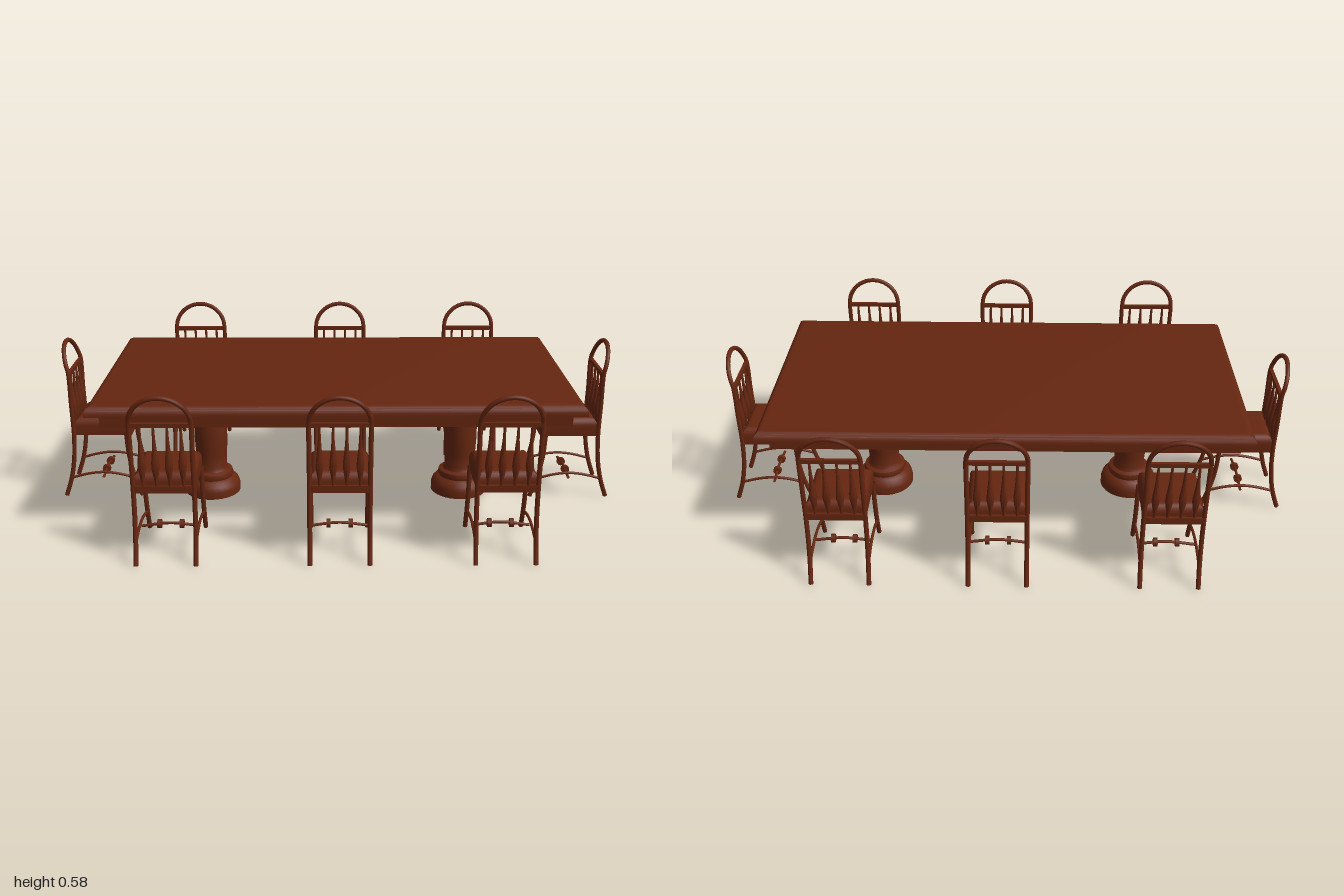
import * as THREE from 'three';
import { toCreasedNormals } from 'three/addons/utils/BufferGeometryUtils.js';

const V = (x, y, z) => new THREE.Vector3(x, y, z);

// Rectangular slab lofted through rings of [inset, y], with mitred corners
function slab(halfX, halfZ, rings) {
  const pos = [];
  const quad = (a, b, c, d) => [a, b, c, a, c, d].forEach(p => pos.push(...p));
  const loops = rings.map(([inset, y]) => {
    const x = halfX - inset, z = halfZ - inset;
    return [[-x, y, z], [x, y, z], [x, y, -z], [-x, y, -z]];
  });
  for (let k = 0; k < loops.length - 1; k++) {
    for (let i = 0; i < 4; i++) {
      const j = (i + 1) % 4;
      quad(loops[k][i], loops[k][j], loops[k + 1][j], loops[k + 1][i]);
    }
  }
  const [a, b, c, d] = loops[0];
  quad(d, c, b, a);
  quad(...loops[loops.length - 1]);
  const geo = new THREE.BufferGeometry();
  geo.setAttribute('position', new THREE.Float32BufferAttribute(pos, 3));
  return toCreasedNormals(geo, 0.6);
}

// Quarter-round top edge for a slab
function roundOver(radius, top, steps = 6) {
  const rings = [];
  for (let i = 0; i <= steps; i++) {
    const t = (i / steps) * Math.PI / 2;
    rings.push([radius * (1 - Math.cos(t)), top - radius * (1 - Math.sin(t))]);
  }
  return rings;
}

function tube(points, radius, segments) {
  return new THREE.TubeGeometry(new THREE.CatmullRomCurve3(points), segments, radius, 8);
}

function lathe(profile, sides) {
  const geo = new THREE.LatheGeometry(profile.map(([r, y]) => new THREE.Vector2(r, y)), sides);
  return toCreasedNormals(geo, 0.7);
}

export function createModel() {
  const model = new THREE.Group();
  model.name = 'diningSet';
  const wood = new THREE.MeshStandardMaterial({ color: 0x652610, side: THREE.DoubleSide });
  wood.name = 'mahogany';
  const add = (parent, name, geo, x = 0, y = 0, z = 0) => {
    const mesh = new THREE.Mesh(geo, wood);
    mesh.name = name;
    mesh.position.set(x, y, z);
    parent.add(mesh);
    return mesh;
  };

  // Table: rounded top, hollow apron, two turned pedestals
  const table = new THREE.Group();
  table.name = 'table';
  model.add(table);
  add(table, 'tableTop', slab(0.82, 0.41, [[0, 0.44], ...roundOver(0.032, 0.477)]));
  add(table, 'apron', slab(0.78, 0.37, [[0.04, 0.438], [0.04, 0.39], [0, 0.39], [0, 0.441]]));
  const pedestal = lathe([
    [0, 0], [0.102, 0], [0.102, 0.025], [0.097, 0.042], [0.085, 0.055], [0.074, 0.06],
    [0.077, 0.07], [0.074, 0.082], [0.06, 0.088], [0.054, 0.1], [0.057, 0.15], [0.06, 0.21],
    [0.059, 0.26], [0.053, 0.32], [0.052, 0.335], [0.06, 0.34], [0.063, 0.348], [0.06, 0.356],
    [0.068, 0.36], [0.075, 0.37], [0.075, 0.39], [0.075, 0.439], [0, 0.439],
  ], 32);
  for (const x of [-0.46, 0.46]) add(table, 'pedestal', pedestal, x);

  // Chair parts, back towards +z
  const halfW = 0.097;
  const post = [[0, 0.597], [0.07, 0.573], [0.15, 0.557], [0.24, 0.55], [0.36, 0.55]];
  const frame = post.map(([y, z]) => V(-halfW, y, z));
  for (let i = 0; i <= 12; i++) {
    const t = Math.PI * (1 - i / 12), s = Math.sin(t);
    frame.push(V(halfW * Math.cos(t), 0.475 + 0.09 * s, 0.55 + 0.022 * s));
  }
  frame.push(...post.reverse().map(([y, z]) => V(halfW, y, z)));

  const parts = {
    backFrame: tube(frame, 0.008, 90),
    frontLeg: tube([V(0, 0, 0.317), V(0, 0.08, 0.342), V(0, 0.16, 0.356), V(0, 0.25, 0.361)], 0.008, 14),
    seat: slab(0.098, 0.103, [[0.02, 0.275], [0.02, 0.238], [0, 0.238], ...roundOver(0.033, 0.305)]),
    rail: new THREE.BoxGeometry(2 * halfW, 0.014, 0.012),
    lowerRail: new THREE.BoxGeometry(2 * halfW, 0.024, 0.012),
    spindle: lathe([
      [0.004, 0.25], [0.005, 0.275], [0.009, 0.3], [0.013, 0.325], [0.012, 0.345],
      [0.008, 0.38], [0.005, 0.42], [0.004, 0.468],
    ], 10),
    sideStretcher: tube([V(0, 0.07, 0.34), V(0, 0.086, 0.4), V(0, 0.092, 0.455), V(0, 0.086, 0.51), V(0, 0.07, 0.572)], 0.005, 18),
    crossStretcher: tube([V(-halfW, 0.073, 0.455), V(0, 0.084, 0.455), V(halfW, 0.073, 0.455)], 0.005, 14),
    bead: new THREE.CylinderGeometry(0.015, 0.015, 0.014, 12).rotateZ(Math.PI / 2),
  };

  function chair(x, z, turn) {
    const g = new THREE.Group();
    g.name = 'chair';
    g.position.set(x, 0, z);
    g.rotation.y = turn;
    add(g, 'backFrame', parts.backFrame);
    add(g, 'seat', parts.seat, 0, 0, 0.443);
    add(g, 'upperBackRail', parts.rail, 0, 0.468, 0.55);
    add(g, 'lowerBackRail', parts.lowerRail, 0, 0.25, 0.55);
    for (let i = 0; i < 4; i++) add(g, 'spindle', parts.spindle, (i - 1.5) * 0.043, 0, 0.55);
    for (const s of [-1, 1]) {
      add(g, 'frontLeg', parts.frontLeg, s * halfW);
      add(g, 'sideStretcher', parts.sideStretcher, s * halfW);
      add(g, 'stretcherBead', parts.bead, s * 0.037, 0.081, 0.455);
    }
    add(g, 'crossStretcher', parts.crossStretcher);
    model.add(g);
  }

  // Three chairs along each side, one at each end
  for (const x of [-0.55, 0.01, 0.545]) chair(x, 0, 0);
  for (const x of [-0.55, 0.02, 0.545]) chair(x, 0, Math.PI);
  chair(0.4, -0.025, Math.PI / 2);
  chair(-0.4, -0.043, -Math.PI / 2);

  return model;
}
